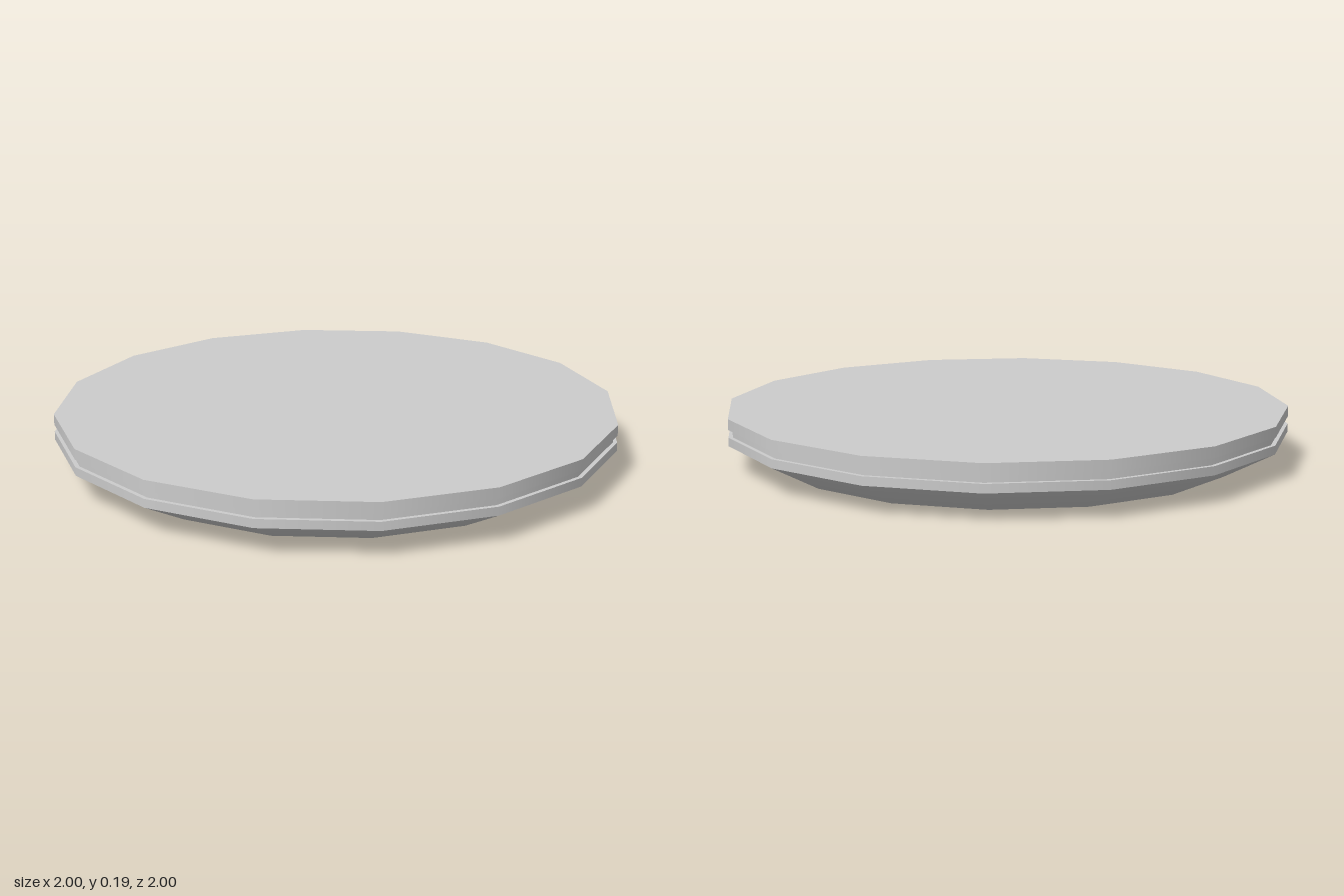
import * as THREE from 'three';

const SIDES = 16;

export function createModel() {
  const group = new THREE.Group();
  group.name = 'roundPlatform';
  const material = new THREE.MeshStandardMaterial({ color: 0xcccccc });

  const add = (name, geometry, y = 0) => {
    const mesh = new THREE.Mesh(geometry, material);
    mesh.name = name;
    mesh.position.y = y;
    group.add(mesh);
  };
  const disc = (name, radius, bottom, top) =>
    add(name, new THREE.CylinderGeometry(radius, radius, top - bottom, SIDES), (bottom + top) / 2);

  // Stacked slabs with a shallow groove between them
  disc('topSlab', 1, 0.152, 0.19);
  disc('groove', 0.985, 0.126, 0.152);
  disc('lowerRim', 1, 0.096, 0.126);

  // Tapered underside, softly shaded into its flat bottom
  const profile = [[0, 0], [0.82, 0], [1, 0.096]].map(([x, y]) => new THREE.Vector2(x, y));
  add('taperedBase', new THREE.LatheGeometry(profile, SIDES));

  return group;
}
